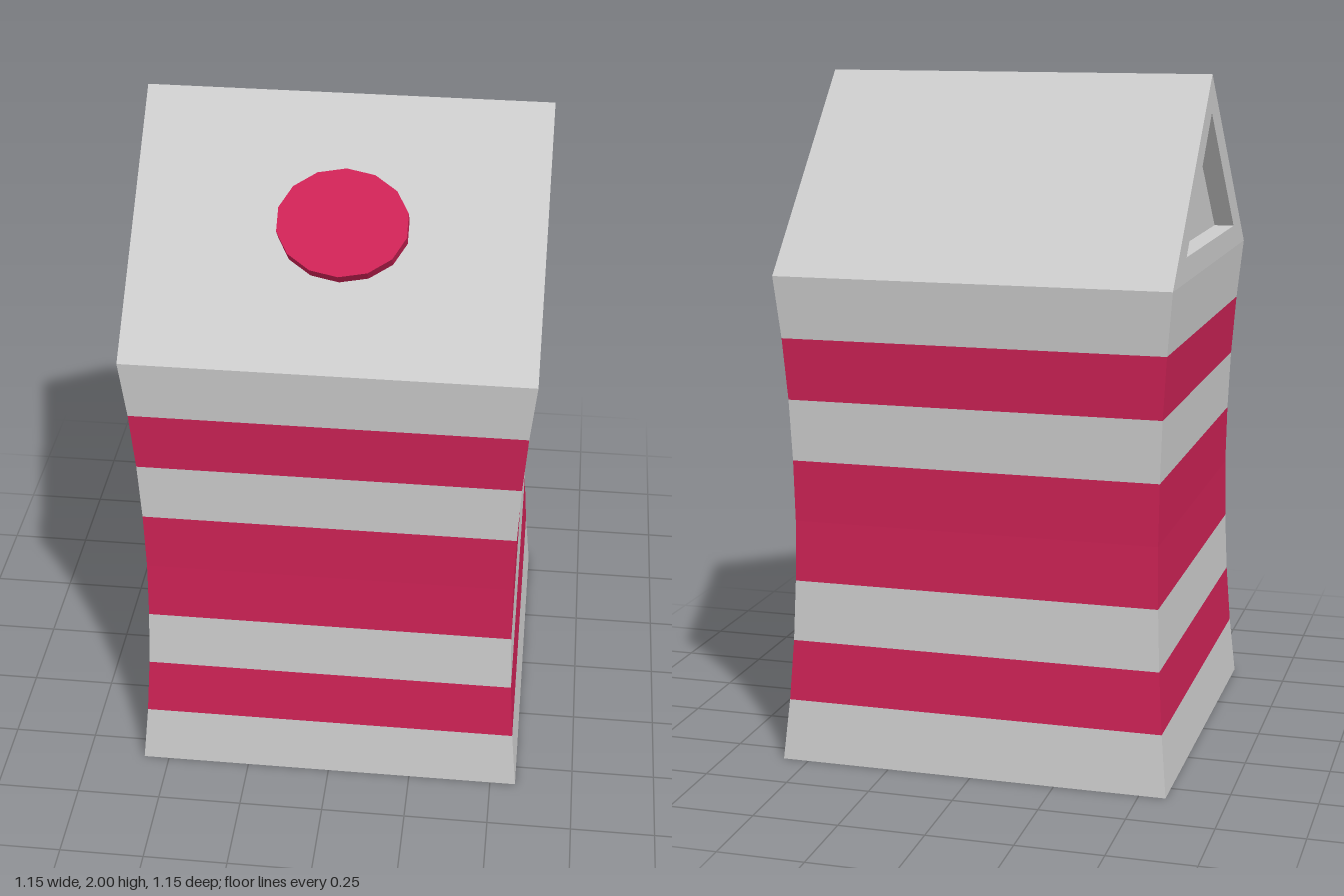
import * as THREE from 'three';

const HALF = 0.577;      // half width at the base and the eaves
const EAVES = 1.445;     // height where the roof begins
const RECESS = 0.06;     // depth of the gable recess

const grey = new THREE.MeshStandardMaterial({ color: 0xcccccc, flatShading: true });
const pink = new THREE.MeshStandardMaterial({ color: 0xcc2255, flatShading: true });

function addMesh(parent, name, geometry, material) {
  const mesh = new THREE.Mesh(geometry, material);
  mesh.name = name;
  parent.add(mesh);
  return mesh;
}

// Triangle from [z, y] corners, drawn so that extrusion can be turned along x
const triangle = (corners) => corners.map(([z, y]) => new THREE.Vector2(-z, y));

// Prism running along x from x0 over the given length
function prism(shape, x0, length) {
  return new THREE.ExtrudeGeometry(shape, { depth: length, bevelEnabled: false })
    .rotateY(Math.PI / 2)
    .translate(x0, 0, 0);
}

export function createModel() {
  const carton = new THREE.Group();
  carton.name = 'carton';

  // Waisted body: eight square rings with coloured stripes
  const body = new THREE.Group();
  body.name = 'body';
  carton.add(body);
  const widths = [HALF, 0.56, 0.548, 0.541, 0.538, 0.541, 0.548, 0.56, HALF];
  const striped = [1, 3, 4, 6];
  const step = EAVES / 8;
  for (let i = 0; i < 8; i++) {
    const ring = new THREE.CylinderGeometry(
      widths[i + 1] * Math.SQRT2, widths[i] * Math.SQRT2, step, 4, 1, true);
    ring.rotateY(Math.PI / 4).translate(0, (i + 0.5) * step, 0);
    const stripe = striped.includes(i);
    addMesh(body, stripe ? 'stripe' : 'plainBand', ring, stripe ? pink : grey);
  }
  addMesh(body, 'bottom',
    new THREE.PlaneGeometry(2 * HALF, 2 * HALF).rotateX(Math.PI / 2), grey);

  // Gabled top: solid core with a recessed frame at each end
  const roof = new THREE.Group();
  roof.name = 'roof';
  carton.add(roof);
  const outline = triangle([[HALF, EAVES], [-HALF, EAVES], [-0.04, 2]]);
  const opening = triangle([[0.375, 1.515], [-0.039, 1.89], [-0.39, 1.515]]);
  const inner = HALF - RECESS;
  addMesh(roof, 'roofCore', prism(new THREE.Shape(outline), -inner, 2 * inner), grey);
  const frame = new THREE.Shape(outline);
  frame.holes.push(new THREE.Path(opening));
  addMesh(roof, 'leftGableFrame', prism(frame, inner, RECESS), grey);
  addMesh(roof, 'rightGableFrame', prism(frame, -HALF, RECESS), grey);

  // Oval screw cap on the front slope
  const cap = addMesh(carton, 'cap', new THREE.CylinderGeometry(0.185, 0.185, 0.07, 14), pink);
  cap.scale.z = 0.85;
  cap.rotation.x = 0.755;
  cap.position.set(0.015, 1.742, 0.271);

  return carton;
}
